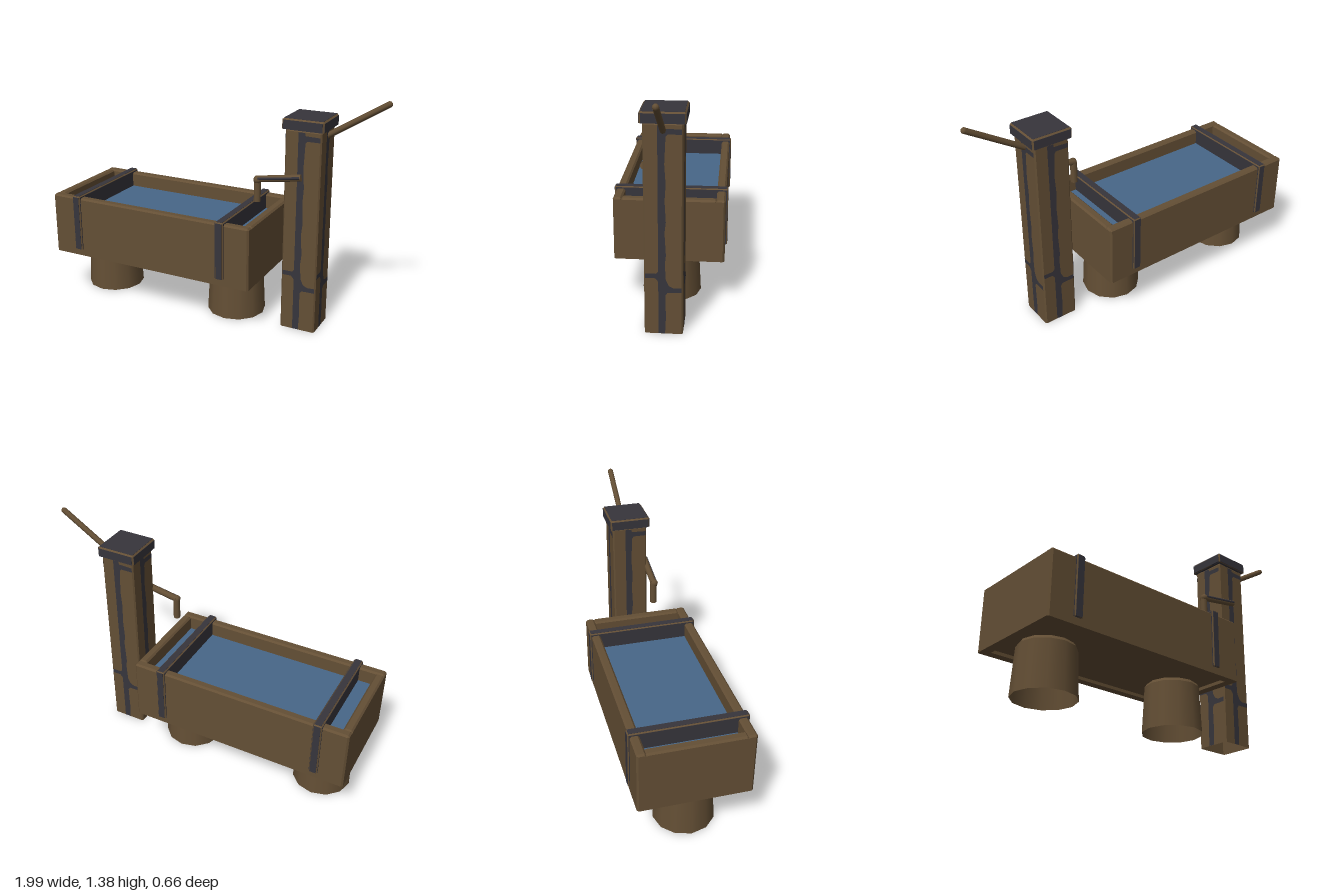
import * as THREE from 'three';
import { ConvexGeometry } from 'three/addons/geometries/ConvexGeometry.js';

export function createModel() {
  const mat = (name, color) => {
    const m = new THREE.MeshStandardMaterial({ color, side: THREE.DoubleSide });
    m.name = name;
    return m;
  };
  const wood = mat('brown wood', 0x644f35);
  const iron = mat('dark iron', 0x37353c);
  const water = mat('blue water', 0x476788);

  const model = new THREE.Group();
  model.name = 'waterTroughWithPump';

  const add = (name, geometry, material, x = 0, y = 0, z = 0, parent = model) => {
    const mesh = new THREE.Mesh(geometry, material);
    mesh.name = name;
    mesh.position.set(x, y, z);
    parent.add(mesh);
    return mesh;
  };

  // Box with bevelled edges except around its flat bottom
  const bevelBox = (w, h, d, b) => {
    const pts = [];
    const [x, y, z] = [w / 2, h / 2, d / 2];
    for (const sx of [-1, 1]) for (const sz of [-1, 1]) {
      for (const py of [-y, y - b]) {
        pts.push(new THREE.Vector3(sx * x, py, sz * (z - b)), new THREE.Vector3(sx * (x - b), py, sz * z));
      }
      pts.push(new THREE.Vector3(sx * (x - b), y, sz * (z - b)));
    }
    return new ConvexGeometry(pts);
  };

  // Remove the faces lying in the bottom plane
  const openBottom = (geometry) => {
    const p = geometry.attributes.position;
    geometry.computeBoundingBox();
    const limit = geometry.boundingBox.min.y + 1e-4;
    const index = [];
    for (let i = 0; i < p.count; i += 3) {
      if (Math.max(p.getY(i), p.getY(i + 1), p.getY(i + 2)) > limit) index.push(i, i + 1, i + 2);
    }
    geometry.setIndex(index);
    return geometry;
  };

  // Dark box whose bevelled edges are worn brown
  const wornBox = (name, size, b, x, y, z) => {
    const group = new THREE.Group();
    group.name = name;
    group.position.set(x, y, z);
    add(name + 'Edges', bevelBox(...size, b), wood, 0, 0, 0, group);
    for (let axis = 0; axis < 3; axis++) {
      const s = size.map((v, i) => (i === axis ? v + 0.003 : v - (i === 1 ? b : 2 * b)));
      add(name + 'Faces', new THREE.BoxGeometry(...s), iron, 0, axis === 1 ? 0 : -b / 2, 0, group);
    }
    model.add(group);
  };

  // Straight round bar between two points
  const bar = (name, a, b, r, sides, material) => {
    const p = new THREE.Vector3(...a), q = new THREE.Vector3(...b);
    const dir = q.clone().sub(p);
    const mesh = add(name, new THREE.CylinderGeometry(r, r, dir.length(), sides), material);
    mesh.position.copy(p).add(q).multiplyScalar(0.5);
    mesh.quaternion.setFromUnitVectors(new THREE.Vector3(0, 1, 0), dir.normalize());
  };

  // Trough walls: a rectangular ring with cut corners, and a bevelled rim
  const tx = -0.331;
  const rect = (Type, x, z, c) => new Type([
    [x - c, -z], [x, c - z], [x, z - c], [x - c, z], [c - x, z], [-x, z - c], [-x, c - z], [c - x, -z],
  ].map(([u, v]) => new THREE.Vector2(u, v)));
  const wall = rect(THREE.Shape, 0.664, 0.318, 0.01);
  wall.holes.push(rect(THREE.Path, 0.612, 0.266, 0.001));
  const walls = new THREE.ExtrudeGeometry(wall, { depth: 0.363, bevelEnabled: false });
  add('troughWalls', walls.rotateX(-Math.PI / 2), wood, tx, 0.286, 0);
  for (const s of [-1, 1]) {
    add('sideRim', bevelBox(1.328, 0.013, 0.052, 0.01), wood, tx, 0.6555, s * 0.292);
    add('endRim', bevelBox(0.052, 0.013, 0.54, 0.01), wood, tx + s * 0.638, 0.6545, 0);
  }
  add('troughFloor', new THREE.BoxGeometry(1.224, 0.03, 0.532), wood, tx, 0.32, 0);
  add('waterSurface', new THREE.PlaneGeometry(1.224, 0.532).rotateX(-Math.PI / 2), water, tx, 0.572, 0);

  // Straps across the trough
  for (const x of [-0.819, 0.154]) wornBox('strap', [0.05, 0.345, 0.657], 0.006, x, 0.502, 0);

  // Tapered hollow feet with a narrowed top edge
  for (const x of [-0.772, 0.113]) {
    add('foot', new THREE.CylinderGeometry(0.162, 0.176, 0.27, 12, 1, true), wood, x, 0.135, 0);
    add('footTop', new THREE.CylinderGeometry(0.148, 0.162, 0.02, 12), wood, x, 0.28, 0);
  }

  // Hollow pump post and its cap
  const px = 0.553;
  add('pumpPost', openBottom(bevelBox(0.21, 1.195, 0.21, 0.008)), wood, px, 0.5975, 0);
  wornBox('pumpCap', [0.24, 0.06, 0.24], 0.008, px, 1.227, 0);

  // Dark joint pattern repeated on the four post faces
  const joint = new THREE.Shape([
    [-0.028, 0.001], [0.008, 0.001], [0.013, 0.1], [0.01, 0.235], [0.022, 0.25], [0.098, 0.252],
    [0.098, 0.28], [0.055, 0.278], [0.03, 0.29], [0.013, 0.325], [0.008, 0.42], [0.014, 0.47],
    [0.007, 0.6], [0.014, 0.66], [0.008, 0.78], [0.014, 0.87], [0.007, 0.98], [0.012, 1.08],
    [0.014, 1.125], [0.024, 1.138], [0.098, 1.138], [0.098, 1.165], [0.012, 1.168], [0.01, 1.185],
    [-0.028, 1.185], [-0.028, 0.375], [-0.04, 0.362], [-0.098, 0.362], [-0.098, 0.335],
    [-0.045, 0.335], [-0.028, 0.315],
  ].map(([u, v]) => new THREE.Vector2(u, v)));
  const jointGeometry = new THREE.ShapeGeometry(joint).translate(0, 0, 0.106);
  for (let i = 0; i < 4; i++) {
    add('postJoint', jointGeometry, iron, px).rotation.y = i * Math.PI / 2;
  }

  // Spout: arm, elbow, nozzle and a dark seam on the arm
  bar('spoutArm', [0.288, 0.887, 0.108], [0.552, 0.932, 0.112], 0.02, 8, wood);
  bar('spoutSeam', [0.29, 0.892, 0.123], [0.547, 0.934, 0.127], 0.008, 6, iron);
  add('spoutElbow', new THREE.SphereGeometry(0.024, 8, 6), wood, 0.29, 0.884, 0.112);
  bar('spoutNozzle', [0.289, 0.755, 0.108], [0.289, 0.885, 0.108], 0.021, 8, wood);

  // Pump lever with a rounded tip
  bar('lever', [0.623, 1.138, 0], [0.981, 1.362, 0], 0.017, 8, wood);
  add('leverTip', new THREE.SphereGeometry(0.0175, 8, 6), wood, 0.981, 1.362, 0);

  return model;
}
